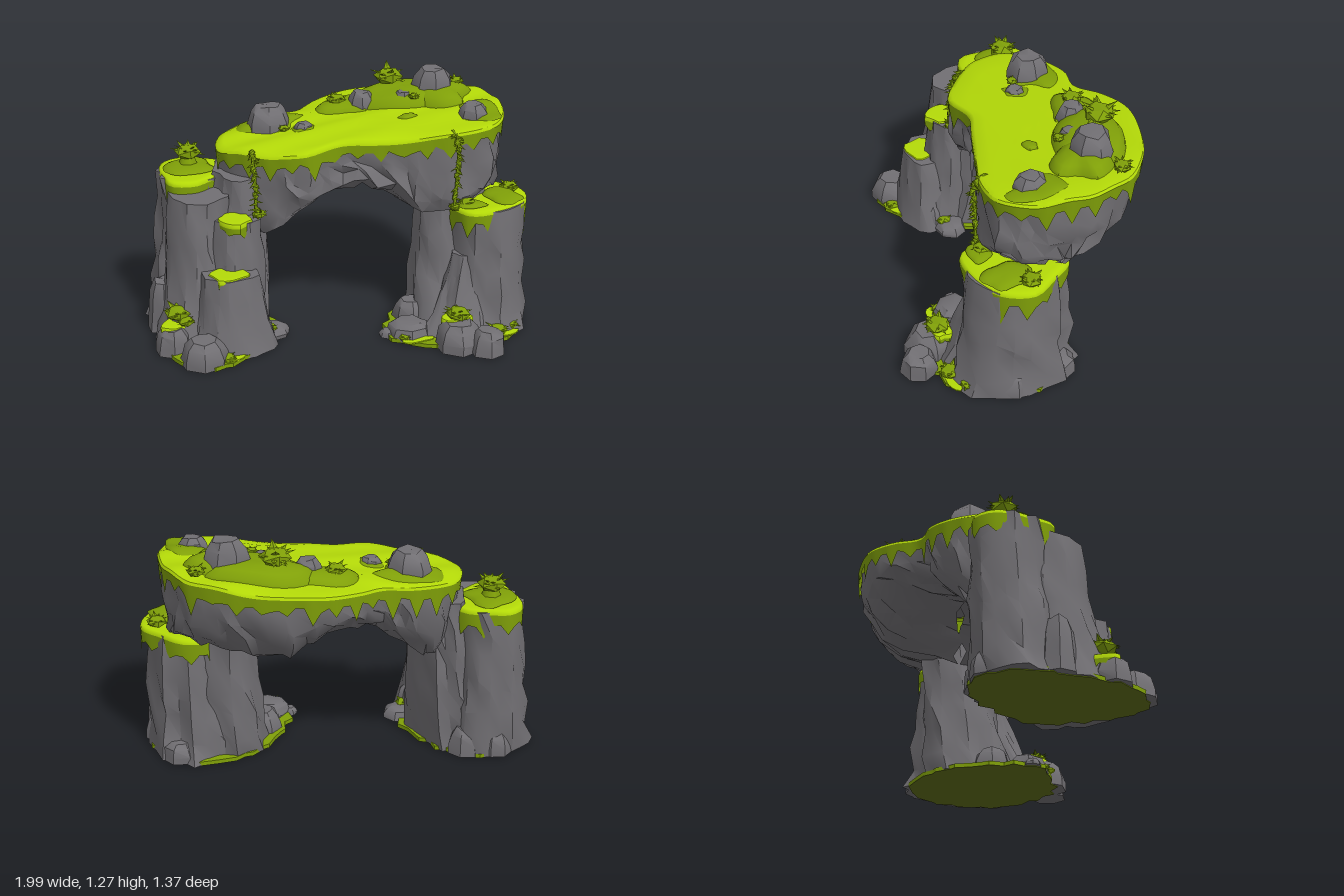
import * as THREE from 'three';
import { mergeGeometries, toCreasedNormals } from 'three/addons/utils/BufferGeometryUtils.js';

const V = (x, y, z) => new THREE.Vector3(x, y, z);
const { lerp, smoothstep } = THREE.MathUtils;

// Small seeded random generator
function seeded(seed) {
  let s = (seed * 7919 + 17) % 2147483647;
  for (let i = 0; i < 3; i++) s = (s * 16807) % 2147483647;
  return () => (s = (s * 16807) % 2147483647) / 2147483647;
}

// Skin closed rings of points, from bottom to top
function loft(rings, capBottom, capTop, crease) {
  const p = [], n = rings[0].length;
  const tri = (a, b, c) => p.push(...a.toArray(), ...b.toArray(), ...c.toArray());
  const mid = (r) => r.reduce((s, q) => s.add(q), V(0, 0, 0)).divideScalar(n);
  const first = rings[0], last = rings[rings.length - 1], c0 = mid(first), c1 = mid(last);
  for (let i = 0; i < n; i++) {
    const k = (i + 1) % n;
    for (let j = 0; j < rings.length - 1; j++) {
      tri(rings[j][i], rings[j + 1][i], rings[j + 1][k]);
      tri(rings[j][i], rings[j + 1][k], rings[j][k]);
    }
    if (capBottom) tri(c0, first[i], first[k]);
    if (capTop) tri(c1, last[k], last[i]);
  }
  const g = new THREE.BufferGeometry();
  g.setAttribute('position', new THREE.Float32BufferAttribute(p, 3));
  return toCreasedNormals(g, crease);
}

// Sample a smooth closed outline given as [x, z] pairs
function sample(pairs, n) {
  const curve = new THREE.CatmullRomCurve3(pairs.map(([x, z]) => V(x, 0, z)), true);
  return curve.getSpacedPoints(n).slice(0, n);
}

function blob(x, z, rx, rz, seed) {
  const rnd = seeded(seed), out = [];
  for (let i = 0; i < 11; i++) {
    const a = (i / 11) * Math.PI * 2, r = 0.76 + rnd() * 0.38;
    out.push([x + Math.cos(a) * rx * r, z + Math.sin(a) * rz * r]);
  }
  return out;
}

export function createModel() {
  const model = new THREE.Group();
  const material = (name, color, extra) => Object.assign(new THREE.MeshStandardMaterial({ color, ...extra }), { name });
  const rock = material('rock grey', 0x716f73);
  const bright = material('bright moss', 0xb4da08, { side: THREE.DoubleSide });
  const dark = material('dark moss', 0x80a008, { side: THREE.DoubleSide });
  const olive = material('deep olive', 0x5c6a18);
  const add = (name, geometry, mat) => {
    const m = new THREE.Mesh(geometry, mat);
    m.name = name;
    model.add(m);
  };

  // Plateau outline, sloping top and arched underside
  const outline = [[-0.55, -0.25], [-0.5, -0.42], [-0.4, -0.51], [-0.2, -0.57], [-0.05, -0.55], [0.1, -0.63],
    [0.28, -0.68], [0.5, -0.64], [0.7, -0.55], [0.85, -0.42], [0.92, -0.25], [0.92, -0.05], [0.87, 0.1],
    [0.77, 0.22], [0.6, 0.24], [0.4, 0.18], [0.15, 0.1], [0, 0.05], [-0.2, 0.08], [-0.33, 0.01], [-0.45, -0.1]];
  const topY = (x, z) => 1.03 + 0.105 * x - 0.02 * smoothstep(z, -0.1, 0.2) + 0.006 * Math.sin(z * 26 + x * 3);
  const arch = [[-0.6, 0.6], [-0.45, 0.5], [-0.35, 0.52], [-0.2, 0.65], [-0.05, 0.76], [0.12, 0.78], [0.28, 0.71], [0.42, 0.61], [0.6, 0.66], [0.95, 0.74]];
  const underY = (x) => {
    const i = Math.max(1, arch.findIndex(([ax]) => ax >= x));
    const [a, b] = [arch[i - 1], arch[i]];
    return lerp(a[1], b[1], (x - a[0]) / (b[0] - a[0]));
  };

  // Arch rock: outline rings closing towards a spine; steep at the front, undercut at the back
  const rnd = seeded(5), edge = sample(outline, 60);
  const profile = [[0.02, 1], [0.3, 0.98], [0.55, 0.93], [0.75, 0.8], [0.88, 0.62], [0.95, 0.42], [0.98, 0.2], [0.975, 0.02]];
  add('archRock', loft(profile.map(([w, h], j) => edge.map((p) => {
    const x = 0.2 + (p.x - 0.2) * (0.91 + 0.08 * w), zs = lerp(-0.25, -0.03, smoothstep(x, 0, 0.6));
    const k = p.z > zs ? 1 - (1 - w) ** 2.3 : w ** 1.1;
    const jit = () => (rnd() - 0.5) * (j > 5 ? 0.018 : 0.045);
    return V(x + jit(), lerp(topY(x, p.z) - 0.01, underY(x), h) + jit(), zs + (p.z - zs) * Math.min(k, 0.98) + jit());
  })), false, true, 0.7), rock);

  // Leaning, fluted rock columns: [x, z, rx, rz] at the base and at the top
  function column(name, base, top, height, seed) {
    const r = seeded(seed), n = 20, rings = [];
    const flute = Array.from({ length: n }, () => 0.91 + r() * 0.18);
    const rows = Math.max(3, Math.round(height / 0.12));
    for (let j = 0; j <= rows; j++) {
      const t = j / rows, e = Math.pow(t, 0.55);
      const [x, z, rx, rz] = base.map((b, i) => lerp(b, top[i], e));
      rings.push(flute.map((f, i) => {
        const a = (i / n) * Math.PI * 2, k = f + (r() - 0.5) * 0.15;
        const y = 0.004 + t * height + (j && j < rows ? (r() - 0.5) * 0.06 : 0);
        return V(x + Math.cos(a) * rx * k, y, z + Math.sin(a) * rz * k);
      }));
    }
    add(name, loft(rings, true, true, 0.7), rock);
  }
  column('leftPillar', [-0.71, -0.37, 0.22, 0.2], [-0.68, -0.4, 0.165, 0.17], 0.81, 11);
  column('leftInnerPillar', [-0.58, -0.21, 0.22, 0.25], [-0.45, -0.27, 0.13, 0.2], 0.84, 12);
  column('leftOuterPillar', [-0.76, -0.13, 0.2, 0.25], [-0.69, -0.2, 0.15, 0.17], 0.76, 18);
  column('leftMiddleStep', [-0.57, -0.02, 0.18, 0.17], [-0.53, -0.05, 0.12, 0.11], 0.66, 13);
  column('leftFrontStep', [-0.6, 0.09, 0.22, 0.16], [-0.6, 0.06, 0.14, 0.13], 0.41, 14);
  column('rightPillar', [0.74, 0.14, 0.24, 0.31], [0.755, 0.13, 0.195, 0.24], 0.67, 15);
  column('rightInnerPillar', [0.59, 0.08, 0.24, 0.25], [0.63, 0.0, 0.17, 0.18], 0.76, 16);
  column('rightFrontStep', [0.56, 0.31, 0.22, 0.17], [0.63, 0.25, 0.08, 0.07], 0.42, 17);

  // Boulders on top and around the feet: x, y, z, radius, height
  function boulder([x, y, z, r, h], i) {
    const q = seeded(40 + i), n = 7;
    const rings = [[1, 0], [0.98, 0.35], [0.83, 0.75], [0.55, 1]].map(([s, t]) => Array.from({ length: n }, (_, k) => {
      const a = (k / n) * Math.PI * 2, f = r * s * (0.92 + q() * 0.16);
      return V(x + Math.cos(a) * f, y + h * (t + (t ? (q() - 0.5) * 0.12 : 0)), z + Math.sin(a) * f);
    }));
    add('boulder', loft(rings, true, true, 0.6), rock);
  }
  [[-0.25, 1, -0.38, 0.115, 0.13], [-0.1, 1.01, -0.24, 0.055, 0.05], [0.65, 1.1, -0.3, 0.115, 0.16],
    [0.73, 1.07, 0.05, 0.085, 0.09], [0.27, 1.05, -0.38, 0.075, 0.1], [0.47, 1.08, -0.27, 0.055, 0.08],
    [0.61, 0.004, 0.58, 0.095, 0.12], [0.49, 0.004, 0.48, 0.125, 0.14], [0.3, 0.004, 0.27, 0.12, 0.08],
    [0.19, 0.004, 0.24, 0.045, 0.035], [0.89, 0.004, 0.2, 0.105, 0.14], [0.86, 0.004, -0.06, 0.1, 0.1],
    [0.38, 0.004, 0.1, 0.1, 0.12], [-0.9, 0.004, 0.03, 0.095, 0.13], [-0.79, 0.004, 0.21, 0.125, 0.13],
    [-0.88, 0.004, -0.25, 0.09, 0.28], [-0.5, 0.004, 0.1, 0.11, 0.15], [-0.37, 0.004, 0.02, 0.09, 0.06],
    [-0.55, 0.004, -0.46, 0.09, 0.14], [-0.7, 0.004, -0.51, 0.09, 0.12]].forEach(boulder);

  // Moss cap: bright lid with a dark skirt of pointed drips
  function mossCap(name, pairs, n, yFn, drip, seed) {
    const q = seeded(seed), pts = sample(pairs, n);
    const c = pts.reduce((s, p) => s.add(p), V(0, 0, 0)).divideScalar(n);
    const ring = (s, dy) => pts.map((p, i) => {
      const x = lerp(c.x, p.x, s), z = lerp(c.z, p.z, s);
      return V(x, yFn(x, z) + dy(i), z);
    });
    const drops = pts.map((_, i) => -0.02 - drip * (i % 3 === 1 ? 0.45 + 0.6 * q() ** 1.5 : 0.2 + 0.2 * q()));
    const lip = ring(1.018, () => -0.014);
    add(name + 'Drips', loft([ring(1.008, (i) => drops[i]), lip], false, false, 0.6), dark);
    const lid = [[1.006, 0], [0.96, 0.008], [0.8, 0.01], [0.6, 0.01], [0.4, 0.01], [0.2, 0.01], [0.02, 0.01]];
    add(name, loft([lip, ...lid.map(([s, d]) => ring(s, () => d))], false, true, 0.8), bright);
  }
  mossCap('plateauMoss', outline, 99, topY, 0.15, 21);
  mossCap('leftPillarMoss', blob(-0.68, -0.4, 0.185, 0.2, 22), 30, () => 0.815, 0.16, 22);
  mossCap('rightLedgeMoss', blob(0.755, 0.13, 0.215, 0.26, 23), 36, () => 0.675, 0.17, 23);
  mossCap('middleStepMoss', blob(-0.54, -0.02, 0.085, 0.1, 24), 18, () => 0.665, 0.06, 24);
  mossCap('frontStepMoss', blob(-0.61, 0.09, 0.11, 0.1, 25), 18, () => 0.412, 0.05, 25);
  mossCap('frontBoulderMoss', blob(0.5, 0.43, 0.09, 0.065, 26), 18, () => 0.145, 0.05, 26);
  mossCap('outerBoulderMoss', blob(-0.88, 0, 0.08, 0.07, 27), 18, () => 0.135, 0.05, 27);

  // Darker moss mounds: x, z, rx, rz, height, ground height (plateau if omitted)
  [[0.5, -0.38, 0.26, 0.2, 0.075], [0.2, -0.43, 0.16, 0.13, 0.035], [0.66, -0.24, 0.17, 0.15, 0.065],
    [-0.25, -0.41, 0.18, 0.14, 0.02], [0.78, 0.04, 0.12, 0.15, 0.015], [-0.1, -0.25, 0.075, 0.07, 0.01],
    [0.42, -0.09, 0.05, 0.035, 0.015], [-0.68, -0.41, 0.13, 0.14, 0.02, 0.82],
    [0.84, 0.2, 0.1, 0.13, 0.02, 0.68], [0.64, 0.27, 0.08, 0.06, 0.015, 0.68]].forEach(([x, z, rx, rz, h, y0], i) => {
    const pts = sample(blob(x, z, rx, rz, 60 + i), 26);
    const rings = [[1, -0.02], [0.97, 0.2], [0.8, 0.65], [0.5, 0.95], [0.05, 1]].map(([s, t]) => pts.map((p) => {
      const px = lerp(x, p.x, s), pz = lerp(z, p.z, s);
      return V(px, (y0 ?? topY(px, pz)) + 0.011 + h * t, pz);
    }));
    add('mossMound', loft(rings, false, true, 0.8), dark);
  });

  // Moss mats under the two feet, with an olive underside
  const mat = (name, pairs) => {
    const pts = sample(pairs, 40);
    const at = (y, s = 1) => pts.map((p, i) => V(p.x + s * 0.015 * Math.sin(i * 2.4), y, p.z + s * 0.015 * Math.cos(i * 2.9)));
    add(name, loft([at(0.002), at(0.022)], false, true, 0.5), dark);
    add(name + 'Underside', loft([at(0), at(0.002)], true, false, 0.5), olive);
  };
  mat('leftFootMoss', [[-0.93, -0.2], [-0.87, -0.44], [-0.7, -0.57], [-0.5, -0.5], [-0.38, -0.3], [-0.33, -0.05], [-0.45, 0.12], [-0.6, 0.26], [-0.77, 0.31], [-0.94, 0.12]]);
  mat('rightFootMoss', [[0.35, -0.05], [0.55, -0.17], [0.8, -0.17], [0.96, 0], [0.95, 0.25], [0.84, 0.44], [0.68, 0.52], [0.5, 0.55], [0.3, 0.41], [0.18, 0.28]]);

  // Bright patches on the ground moss
  [[0.3, 0.38, 0.09, 0.035], [0.76, 0.45, 0.08, 0.04], [-0.66, 0.24, 0.07, 0.04]].forEach(([x, z, rx, rz], i) => {
    const pts = sample(blob(x, z, rx, rz, 140 + i), 16);
    add('brightGroundMoss', loft([0.02, 0.027].map((y) => pts.map((p) => V(p.x, y, p.z))), false, true, 0.5), bright);
  });

  // Bushy leaf clumps: x, y, z, radius
  const leaf = (len, width) => new THREE.ConeGeometry(width, len, 4).scale(1, 1, 0.35).translate(0, len / 2, 0);
  function tuft([x, y, z, r], i) {
    const q = seeded(80 + i), leaves = [];
    for (let k = 0; k < 16; k++) {
      const tilt = k < 11 ? 1.2 + q() * 0.6 : 0.9 + q() * 0.4;
      leaves.push(leaf(r * (0.75 + q() * 0.3), r * 0.36).rotateX(tilt).rotateY(k * 2.4 + q()).toNonIndexed());
    }
    leaves.push(new THREE.IcosahedronGeometry(r * 0.78, 0).scale(1, 0.55, 1));
    add('leafClump', toCreasedNormals(mergeGeometries(leaves).translate(x, y, z), 0.4), dark);
  }
  [[0.45, 1.2, -0.44, 0.105], [0.15, 1.1, -0.44, 0.07], [0.82, 1.15, -0.38, 0.06], [0.5, 1.15, -0.2, 0.04],
    [-0.68, 0.91, -0.42, 0.095], [-0.87, 0.2, 0, 0.09], [-0.84, 0.17, 0.05, 0.06], [-0.4, 0.06, 0.05, 0.06],
    [0.5, 0.17, 0.44, 0.085], [0.72, 0.05, 0.46, 0.07], [0.82, 0.04, 0.4, 0.06], [0.92, 0.7, 0.12, 0.07],
    [0.62, 0.7, 0.25, 0.06], [-0.2, 1.03, -0.27, 0.04], [-0.68, 0.03, 0.25, 0.06], [0.25, 0.03, 0.34, 0.05],
    [-0.42, 0.68, -0.01, 0.05], [0.56, 0.68, 0.24, 0.05]].forEach(tuft);
  add('clumpStalk', new THREE.CylinderGeometry(0.03, 0.06, 0.08, 6).translate(-0.68, 0.86, -0.42), dark);

  // Hanging vines with small leaves
  [[[-0.43, 1, -0.08], [-0.44, 0.96, -0.04], [-0.435, 0.82, -0.02], [-0.44, 0.66, -0.01]],
    [[0.55, 1.08, 0.2], [0.555, 1.05, 0.255], [0.56, 0.9, 0.255], [0.55, 0.69, 0.25]]].forEach((pts, v) => {
    const path = new THREE.CatmullRomCurve3(pts.map((p) => V(...p))), q = seeded(120 + v);
    const parts = [new THREE.TubeGeometry(path, 14, 0.009, 5).toNonIndexed()];
    for (let k = 0; k < 34; k++) {
      const p = path.getPoint(k / 33);
      parts.push(leaf(0.042, 0.017).rotateX(1.6 + q() * 0.9).rotateY((q() - 0.5) * 4).translate(p.x, p.y, p.z).toNonIndexed());
    }
    add('hangingVine', mergeGeometries(parts), dark);
  });

  return model;
}
